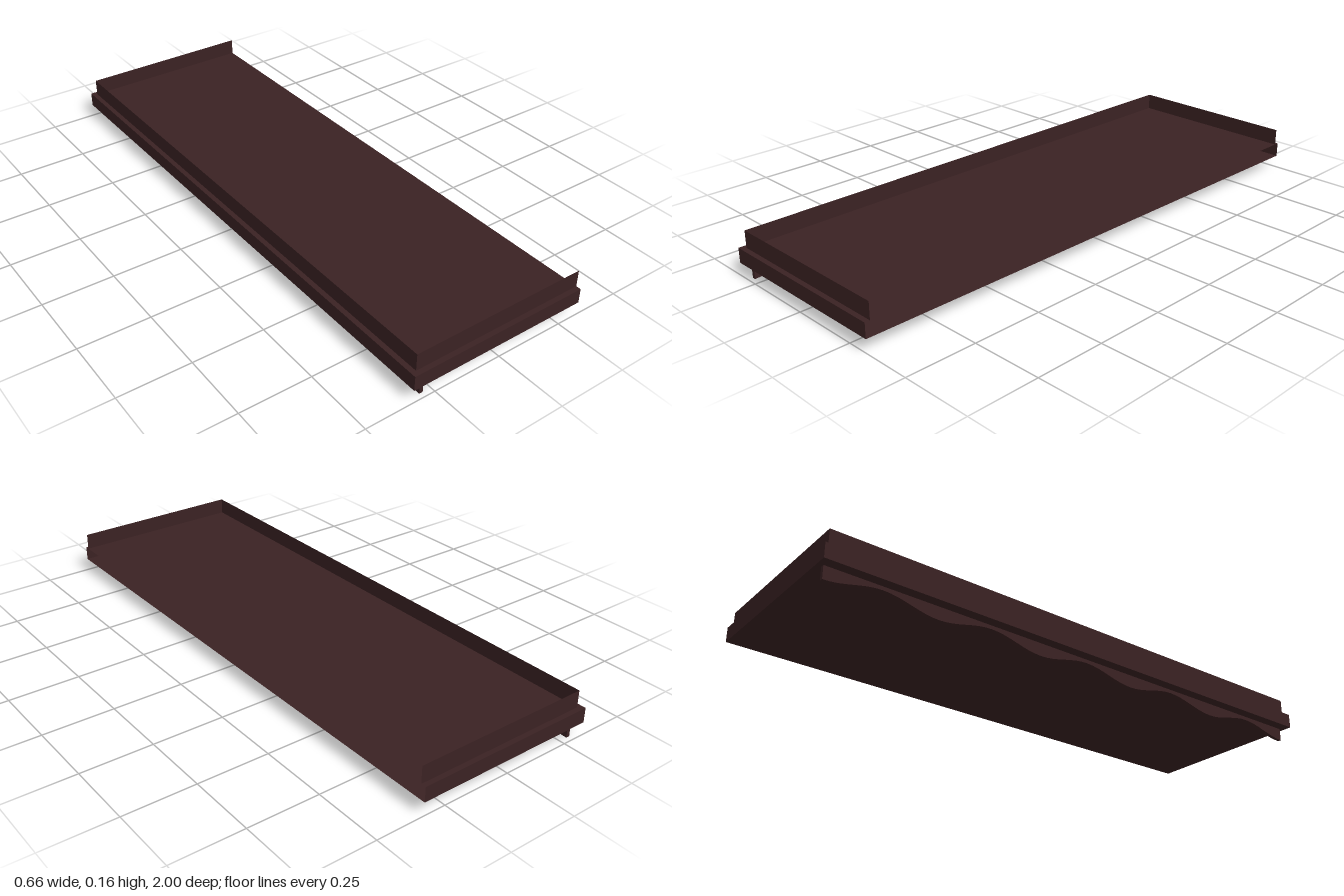
import * as THREE from 'three';

const HALF_W = 0.33, HALF_L = 1;         // shelf half sizes
const BOTTOM = 0.046, TOP = 0.098;       // shelf underside and upper surface
const RAIL_TOP = 0.158, INSET = 0.018;   // upright edging
const WAVES = 5;

export function createModel() {
  const model = new THREE.Group();
  model.name = 'shelf';
  const wood = new THREE.MeshStandardMaterial({ color: 0x3b2223, side: THREE.DoubleSide });
  wood.name = 'dark wood';

  const add = (name, geometry, x, y, z) => {
    const mesh = new THREE.Mesh(geometry, wood);
    mesh.name = name;
    mesh.position.set(x, y, z);
    model.add(mesh);
    return mesh;
  };

  // Hollow board, open along its +x edge
  const board = new THREE.BoxGeometry(2 * HALF_W, TOP - BOTTOM, 2 * HALF_L);
  board.setIndex(Array.from(board.index.array).slice(6));
  board.clearGroups();
  add('board', board, 0, (TOP + BOTTOM) / 2, 0);

  // Thin upright rails on three sides
  const railX = -HALF_W + INSET, railZ = HALF_L - INSET;
  const railH = RAIL_TOP - TOP, railY = (RAIL_TOP + TOP) / 2;
  add('longRail', new THREE.PlaneGeometry(2 * railZ, railH), railX, railY, 0).rotation.y = -Math.PI / 2;
  for (const side of [1, -1]) {
    const rail = add(side > 0 ? 'frontRail' : 'backRail',
      new THREE.PlaneGeometry(HALF_W - railX, railH), (HALF_W + railX) / 2, railY, side * railZ);
    if (side < 0) rail.rotation.y = Math.PI;
  }

  // Scalloped skirt hanging below the long rail
  const outline = new THREE.Shape();
  outline.moveTo(railZ, BOTTOM);
  outline.lineTo(-railZ, BOTTOM);
  const steps = WAVES * 16, period = 2 * railZ / WAVES;
  for (let i = 0; i <= steps; i++) {
    const z = -railZ + 2 * railZ * i / steps;
    outline.lineTo(z, 0.0165 * (1 + Math.cos(2 * Math.PI * z / period)));
  }
  outline.closePath();
  const skirt = new THREE.ExtrudeGeometry(outline, { depth: 0.013, bevelEnabled: false });
  skirt.rotateY(-Math.PI / 2);
  add('scallopedSkirt', skirt, -0.28, 0, 0);

  return model;
}
